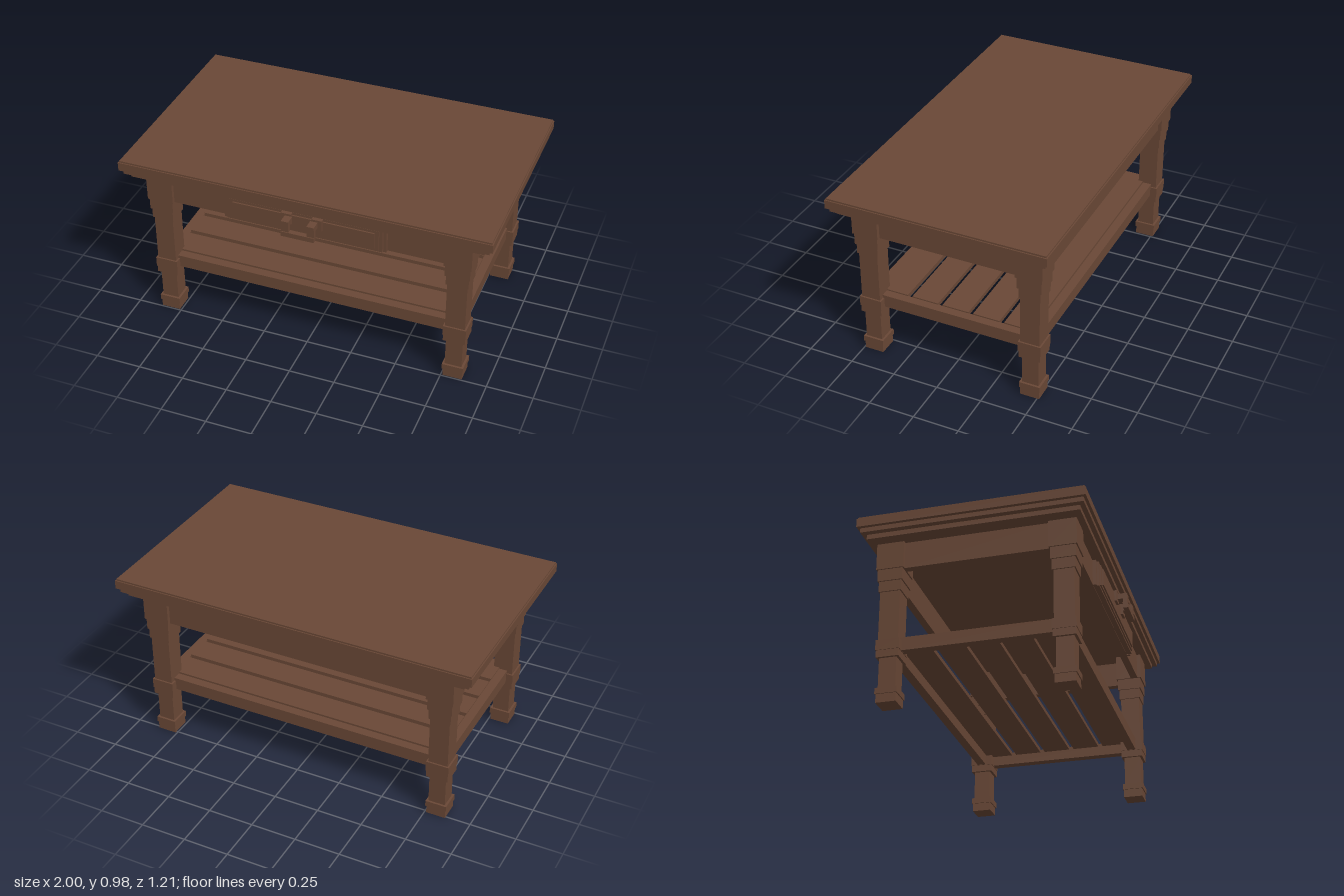
import * as THREE from 'three';

const CENTER_Z = -0.009;

export function createModel() {
  const model = new THREE.Group();
  model.name = 'table';
  const wood = new THREE.MeshStandardMaterial({ color: 0x6a4836 });
  wood.name = 'brown wood';

  // box given by its lower and upper bounds on each axis
  function box(parent, name, [x0, x1], [y0, y1], [z0, z1]) {
    const mesh = new THREE.Mesh(new THREE.BoxGeometry(x1 - x0, y1 - y0, z1 - z0), wood);
    mesh.position.set((x0 + x1) / 2, (y0 + y1) / 2, (z0 + z1) / 2);
    mesh.name = name;
    parent.add(mesh);
    return mesh;
  }
  const group = (name, z = 0) => {
    const g = new THREE.Group();
    g.name = name;
    g.position.z = z;
    model.add(g);
    return g;
  };
  const span = (h, c = 0) => [c - h, c + h];

  // stepped table top: half width, half depth, bottom, top
  const top = group('tableTop', CENTER_Z);
  [
    [0.994, 0.59, 0.974, 0.983],
    [1.0, 0.596, 0.927, 0.974],
    [0.981, 0.581, 0.902, 0.927],
    [0.95, 0.556, 0.876, 0.902],
  ].forEach(([w, d, y0, y1]) => box(top, 'topLayer', span(w), [y0, y1], span(d)));

  // square legs built from tiers: half width, bottom, top
  const tiers = [
    [0.0725, 0.73, 0.876],
    [0.066, 0.665, 0.73],
    [0.0595, 0.607, 0.665],
    [0.053, 0.337, 0.607],
    [0.062, 0.281, 0.337],
    [0.059, 0.242, 0.281],
    [0.0455, 0.078, 0.242],
    [0.0575, 0.046, 0.078],
    [0.0525, 0, 0.046],
  ];
  const legX = 0.812, legZ = 0.45;
  for (const sx of [-1, 1]) for (const sz of [-1, 1]) {
    const leg = group(`${sz > 0 ? 'front' : 'back'}${sx > 0 ? 'Left' : 'Right'}Leg`, CENTER_Z);
    for (const [h, y0, y1] of tiers)
      box(leg, 'legTier', span(h, sx * legX), [y0, y1], span(h, sz * legZ));
  }

  // aprons under the top and rails round the shelf
  const apron = group('apron', CENTER_Z);
  const shelf = group('shelf', CENTER_Z);
  for (const s of [-1, 1]) {
    box(apron, 'longApron', span(0.745), [0.73, 0.876], span(0.02, s * 0.482));
    box(apron, 'shortApron', span(0.02, s * 0.844), [0.73, 0.876], span(0.382));
    box(shelf, 'longRail', span(0.77), [0.283, 0.354], span(0.024, s * legZ));
    box(shelf, 'shortRail', span(0.024, s * legX), [0.283, 0.354], span(0.41));
  }

  // five shelf slats with narrow gaps
  for (let i = -2; i <= 2; i++)
    box(shelf, 'slat', span(0.79), [0.338, 0.361], span(0.074, i * 0.174));

  // drawer front with stepped panels and side stiles
  const drawer = group('drawer');
  for (const s of [-1, 1])
    box(drawer, 'stile', span(0.008, s * 0.433), [0.73, 0.876], [0.48, 0.512]);
  box(drawer, 'drawerFront', span(0.423), [0.733, 0.875], [0.48, 0.522]);
  box(drawer, 'drawerStep', span(0.406), [0.743, 0.862], [0.522, 0.53]);
  box(drawer, 'drawerPanel', span(0.384), [0.754, 0.848], [0.53, 0.538]);

  // U-shaped pull on two backing plates
  const pull = group('drawerPull');
  for (const s of [-1, 1]) {
    box(pull, 'backPlate', span(0.028, s * 0.083), [0.8, 0.862], [0.53, 0.551]);
    box(pull, 'pullArm', span(0.02, s * 0.069), [0.818, 0.85], [0.551, 0.58]);
    box(pull, 'pullDrop', span(0.02, s * 0.069), [0.789, 0.85], [0.58, 0.603]);
  }
  box(pull, 'pullBar', span(0.089), [0.762, 0.789], [0.58, 0.608]);

  return model;
}
